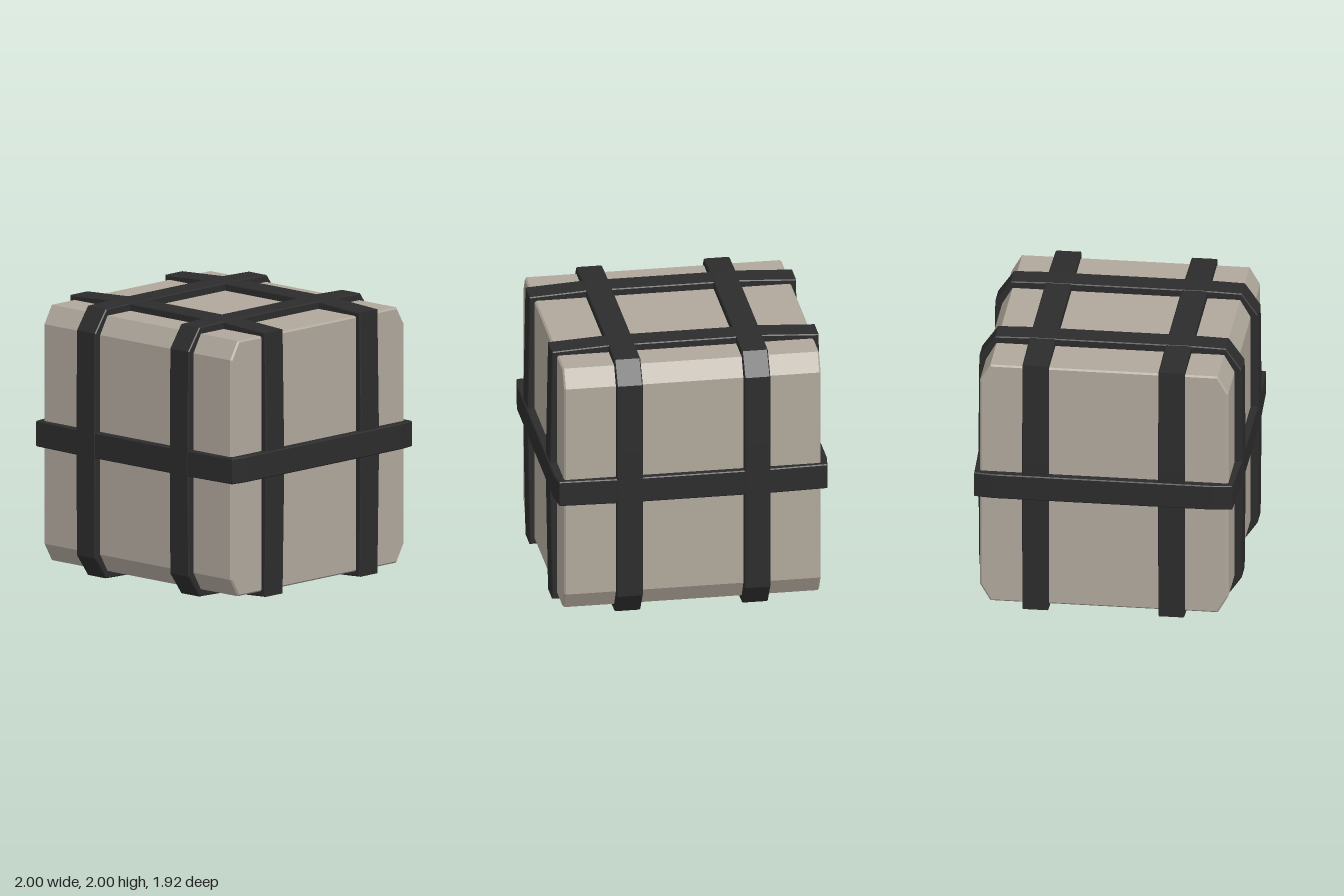
import * as THREE from 'three';

const CENTER_Y = 1;

// Mirrors quarter-outline points (first quadrant, from +u axis to +v axis) into a closed loop
function mirrorLoop(quarter) {
  const rev = [...quarter].reverse();
  return [
    ...quarter,
    ...rev.map(([u, v]) => [-u, v]),
    ...quarter.map(([u, v]) => [-u, -v]),
    ...rev.map(([u, v]) => [u, -v]),
  ].map(([u, v]) => new THREE.Vector2(u, v));
}

// Extrudes an outline centred on its own depth, with a slim bevel inside the given size
function extrudeLoop(quarter, depth, bevel, holeScale = 0) {
  const loop = mirrorLoop(quarter);
  const shape = new THREE.Shape(loop);
  if (holeScale) {
    shape.holes.push(new THREE.Path(loop.map((p) => p.clone().multiplyScalar(holeScale)).reverse()));
  }
  const geo = new THREE.ExtrudeGeometry(shape, {
    depth: depth - 2 * bevel,
    bevelEnabled: true,
    bevelThickness: bevel,
    bevelSize: bevel,
    bevelOffset: -bevel,
    bevelSegments: 1,
  });
  return geo.translate(0, 0, -depth / 2 + bevel);
}

export function createModel() {
  const group = new THREE.Group();
  group.name = 'strappedCrate';

  const stone = new THREE.MeshStandardMaterial({ color: 0xb0a89c });
  stone.name = 'warm grey';
  const dark = new THREE.MeshStandardMaterial({ color: 0x2c2c2c });
  dark.name = 'charcoal';

  const add = (name, geo, mat, x, y, z) => {
    const mesh = new THREE.Mesh(geo, mat);
    mesh.name = name;
    mesh.position.set(x, y, z);
    group.add(mesh);
  };

  // Body: octagonal side profile (z, y) running across x
  const body = extrudeLoop([[0.905, 0.81], [0.828, 0.942]], 1.88, 0.012);
  body.rotateY(Math.PI / 2);
  add('body', body, stone, 0, CENTER_Y + 0.003, 0);

  const width = 0.19;
  const bevel = 0.007;

  // Straps over the front, top, back and bottom
  const lengthwise = extrudeLoop([[0.96, 0.3], [0.955, 0.83], [0.84, 0.993], [0.6, 1]], width, bevel, 0.88);
  lengthwise.rotateY(Math.PI / 2);

  // Straps over the sides, slightly bulged
  const crosswise = extrudeLoop([[0.99, 0.2], [0.976, 0.974], [0.56, 0.997]], width, bevel, 0.88);

  for (const [side, s] of [['left', 1], ['right', -1]]) {
    add(side + 'LengthwiseStrap', lengthwise, dark, s * 0.467, CENTER_Y, 0);
  }
  for (const [end, s] of [['front', 1], ['back', -1]]) {
    add(end + 'CrosswiseStrap', crosswise, dark, 0, CENTER_Y, s * 0.495);
  }

  // Belt around the middle
  const belt = extrudeLoop([[1, 0.8], [0.982, 0.94], [0.56, 0.957]], width, bevel, 0.88);
  belt.rotateX(Math.PI / 2);
  add('middleBelt', belt, dark, 0, CENTER_Y + 0.004, 0);

  return group;
}
